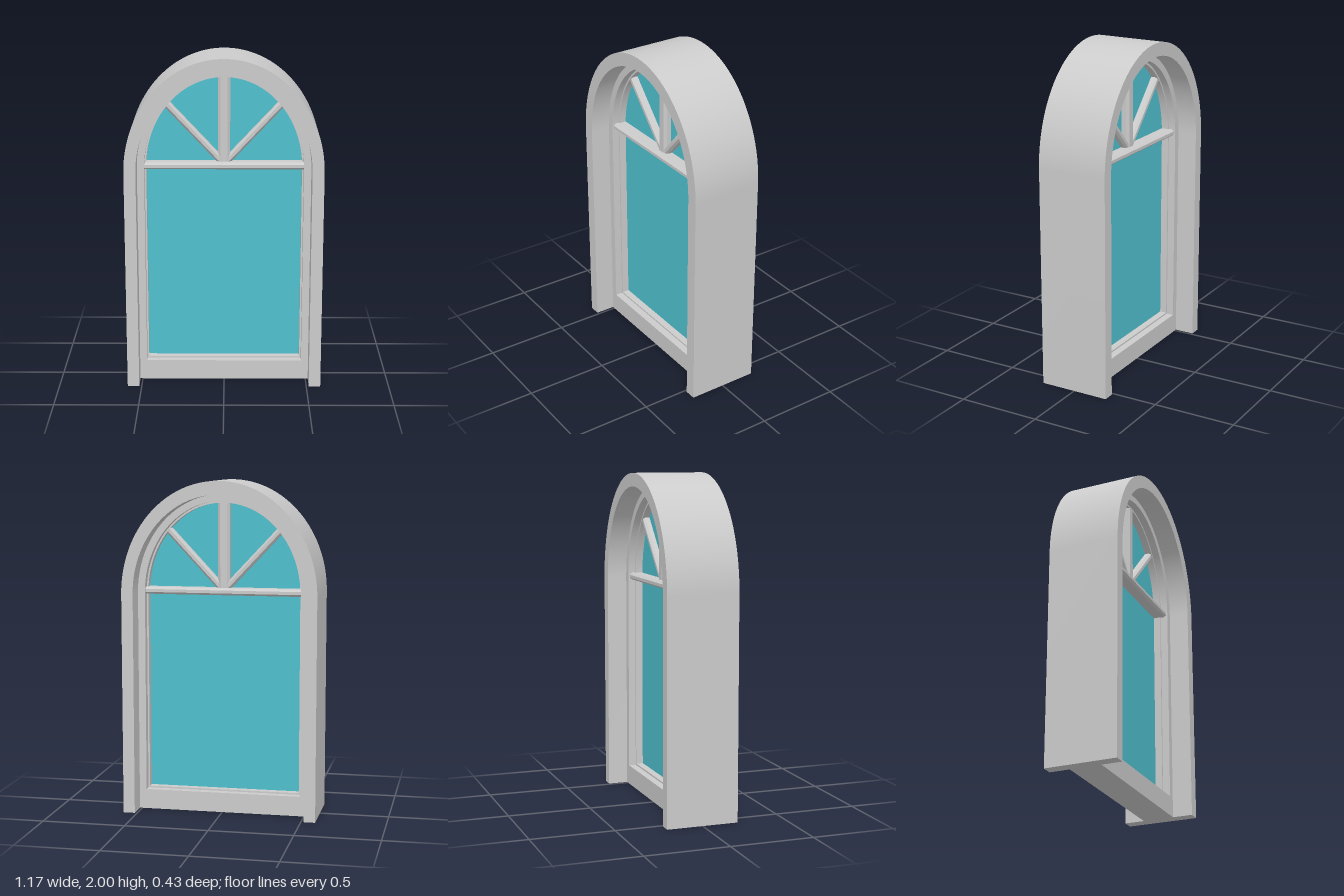
import * as THREE from 'three';
import { toCreasedNormals } from 'three/addons/utils/BufferGeometryUtils.js';

const SPRING = 1.33; // height where the arch starts
const grey = new THREE.MeshStandardMaterial({ color: 0xcccccc });
const glassMat = new THREE.MeshStandardMaterial({ color: 0x4fc0ce });

// Arched outline: half width, bottom and top height
function arch(PathType, w, bottom, top) {
  const p = new PathType();
  p.moveTo(-w, bottom);
  p.lineTo(w, bottom);
  p.lineTo(w, SPRING);
  p.absellipse(0, SPRING, w, top - SPRING, 0, Math.PI, false, 0);
  p.lineTo(-w, bottom);
  return p;
}

// Extrude a shape symmetrically about z = 0
function slab(name, shape, depth, material = grey) {
  const geo = new THREE.ExtrudeGeometry(shape, { depth, bevelEnabled: false, curveSegments: 64 });
  geo.translate(0, 0, -depth / 2);
  const mesh = new THREE.Mesh(toCreasedNormals(geo, Math.PI / 6), material);
  mesh.name = name;
  return mesh;
}

// Arched ring with a hole of the same family
function ring(name, outer, inner, depth) {
  const shape = arch(THREE.Shape, ...outer);
  shape.holes.push(arch(THREE.Path, ...inner));
  return slab(name, shape, depth);
}

// Glazing bar from a to b, chamfered on its front and back edges
function bar(name, a, b, halfWidth, halfDepth, cx, cz) {
  const w = halfWidth, d = halfDepth;
  const section = new THREE.Shape([
    [w, -d + cz], [w, d - cz], [w - cx, d], [-w + cx, d],
    [-w, d - cz], [-w, -d + cz], [-w + cx, -d], [w - cx, -d],
  ].map(([x, y]) => new THREE.Vector2(x, y)));
  const dx = b[0] - a[0], dy = b[1] - a[1];
  const geo = new THREE.ExtrudeGeometry(section, { depth: Math.hypot(dx, dy), bevelEnabled: false });
  geo.rotateX(-Math.PI / 2); // length along +y
  geo.rotateZ(-Math.atan2(dx, dy));
  geo.translate(a[0], a[1], 0);
  const mesh = new THREE.Mesh(geo, grey);
  mesh.name = name;
  return mesh;
}

export function createModel() {
  const model = new THREE.Group();
  model.name = 'archedWindow';

  // Deep outer surround, open at the bottom between its two feet
  const surround = new THREE.Shape();
  surround.moveTo(0.585, 0);
  surround.lineTo(0.585, SPRING);
  surround.absellipse(0, SPRING, 0.585, 0.67, 0, Math.PI, false, 0);
  surround.lineTo(-0.585, 0);
  surround.lineTo(-0.515, 0);
  surround.lineTo(-0.515, SPRING);
  surround.absellipse(0, SPRING, 0.515, 0.59, Math.PI, 0, true, 0);
  surround.lineTo(0.515, 0);
  model.add(slab('surround', surround, 0.434));

  // Recessed sash frame with sill, and the thin bead that holds the glass
  model.add(ring('sashFrame', [0.515, 0, 1.92], [0.472, 0.12, 1.88], 0.19));
  model.add(ring('glazingBead', [0.475, 0.117, 1.883], [0.462, 0.13, 1.868], 0.1));

  // Glass pane
  model.add(slab('glass', arch(THREE.Shape, 0.468, 0.124, 1.874), 0.012, glassMat));

  // Transom across the spring line
  model.add(bar('transom', [-0.473, 1.342], [0.473, 1.342], 0.021, 0.085, 0.012, 0.015));

  // Fan of glazing bars above the transom
  model.add(bar('centreBar', [0, 1.345], [0, 1.878], 0.036, 0.05, 0.016, 0.016));
  for (const side of [-1, 1]) {
    model.add(bar('diagonalBar', [0, 1.345], [side * 0.34, 1.708], 0.021, 0.046, 0.012, 0.014));
  }
  return model;
}
